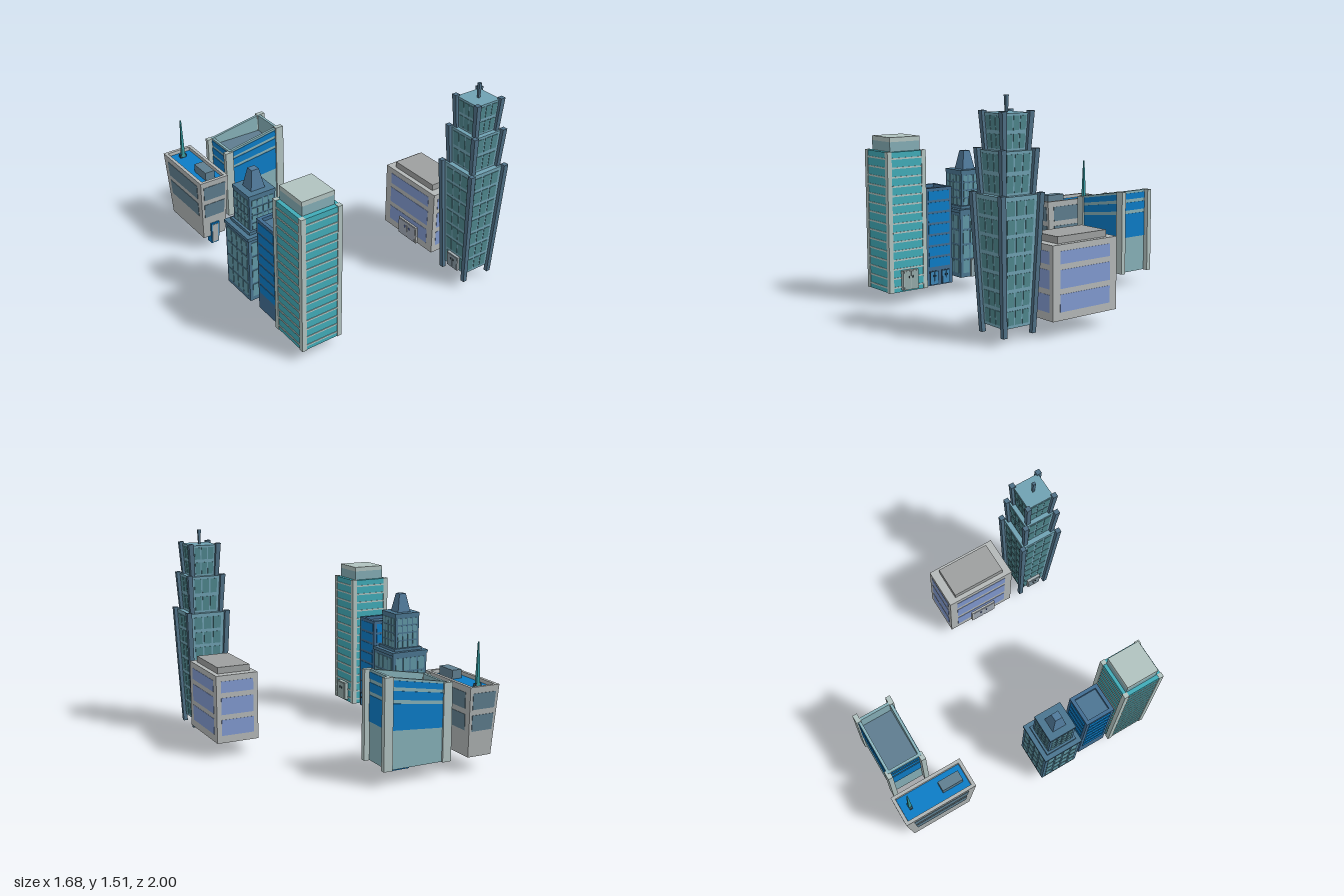
import * as THREE from 'three';

const SIDES = ['front', 'back', 'left', 'right'];
const mats = {};
const mat = (c) => (mats[c] ??= new THREE.MeshStandardMaterial({ color: c, side: THREE.DoubleSide }));
const { lerp } = THREE.MathUtils;

// A block tapers from w0 x d0 at y0 to w1 x d1 at the top; the top may slope from yr (-x) to yl (+x).
const block = (x, z, y0, y1, w0, d0, w1 = w0, d1 = d0, yl = y1) => ({ x, z, y0, yr: y1, yl, w0, d0, w1, d1 });

// Point on a block: sx, sz run -1..1 across it and v runs 0..1 up it.
function at(b, sx, sz, v) {
  const top = lerp(b.yr, b.yl, (sx + 1) / 2);
  return [b.x + (sx * lerp(b.w0, b.w1, v)) / 2, lerp(b.y0, top, v), b.z + (sz * lerp(b.d0, b.d1, v)) / 2];
}

// Box whose unit corners are moved by a rule.
function mapped(group, name, color, rule) {
  const g = new THREE.BoxGeometry(1, 1, 1);
  const p = g.attributes.position;
  for (let i = 0; i < p.count; i++) p.setXYZ(i, ...rule(p.getX(i) + 0.5, p.getY(i) + 0.5, p.getZ(i) + 0.5));
  g.computeVertexNormals();
  const m = new THREE.Mesh(g, mat(color));
  m.name = name;
  group.add(m);
  return m;
}

const solid = (group, name, b, color) =>
  mapped(group, name, color, (i, j, k) => at(b, i * 2 - 1, k * 2 - 1, j));

// Slab lying on one wall: u -1..1 across, v 0..1 up, o0..o1 outwards.
function panel(group, name, b, side, u0, u1, v0, v1, o0, o1, color) {
  return mapped(group, name, color, (i, j, k) => {
    const u = lerp(u0, u1, i), v = lerp(v0, v1, j), o = lerp(o0, o1, k);
    const s = side === 'front' || side === 'left' ? 1 : -1;
    const alongX = side === 'front' || side === 'back';
    const p = alongX ? at(b, s * u, s, v) : at(b, s, -s * u, v);
    p[alongX ? 0 : 2] += 0;
    p[alongX ? 2 : 0] += s * o;
    return p;
  });
}

function windows(group, b, cols, rows, margin, v0, v1, gapU, gapV, color, sides = SIDES) {
  const du = (2 * margin) / cols, dv = (v1 - v0) / rows;
  for (const side of sides)
    for (let r = 0; r < rows; r++)
      for (let c = 0; c < cols; c++) {
        const u = -margin + c * du, v = v0 + r * dv;
        panel(group, 'window', b, side, u + gapU, u + du - gapU, v + gapV, v + dv - gapV, -0.002, 0.003, color);
      }
}

// Hollow top: four walls around a lower roof.
function walled(group, b, t, floor, color, roofColor) {
  for (const side of SIDES) panel(group, 'wall', b, side, -1, 1, 0, 1, -t, 0, color);
  const f = (floor - b.y0) / (Math.max(b.yr, b.yl) - b.y0);
  const w = lerp(b.w0, b.w1, f) - 2 * t, d = lerp(b.d0, b.d1, f) - 2 * t;
  solid(group, 'core', block(b.x, b.z, b.y0, floor - 0.01, b.w0 - 2 * t, b.d0 - 2 * t, w, d), color);
  solid(group, 'roof', block(b.x, b.z, floor - 0.01, floor, w, d), roofColor);
}

// Double door: frame, two leaves and two handles.
function door(group, b, side, u0, u1, v0, v1, depth, frame, leaf, handle) {
  const mid = (u0 + u1) / 2, e = (u1 - u0) * 0.06, h = v1 - v0;
  panel(group, 'doorFrame', b, side, u0, u1, v0, v1, -0.03, depth, frame);
  for (const s of [-1, 1]) {
    const outer = mid + s * ((u1 - u0) / 2 - e), inner = mid + s * e * 0.25;
    panel(group, 'doorLeaf', b, side, Math.min(outer, inner), Math.max(outer, inner), v0 + h * 0.03, v1 - h * 0.05, depth - 0.002, depth + 0.003, leaf);
    const hx = mid + s * e * 2;
    panel(group, 'doorHandle', b, side, hx - e * 0.4, hx + e * 0.4, v0 + h * 0.6, v0 + h * 0.72, depth, depth + 0.008, handle);
  }
}

function stripedTower() {
  const g = new THREE.Group();
  g.name = 'stripedTower';
  const b = block(-0.678, 0.803, 0.085, 1.073, 0.296, 0.3);
  solid(g, 'glassCore', b, 0x41abb8);
  for (const side of SIDES)
    for (let i = 0; i < 15; i++) {
      const v = 0.03 + i * 0.0655;
      panel(g, 'floorStripe', b, side, -0.8, 0.8, v, v + 0.012, -0.002, 0.004, 0xaec4c2);
    }
  for (const sx of [-1, 1])
    for (const sz of [-1, 1])
      solid(g, 'cornerColumn', block(b.x + sx * 0.136, b.z + sz * 0.138, 0.085, 1.076, 0.034, 0.034), 0xb1c3c0);
  solid(g, 'capGlass', block(-0.678, 0.797, 1.07, 1.14, 0.238, 0.24), 0x84adb5);
  solid(g, 'capRoof', block(-0.678, 0.797, 1.14, 1.172, 0.24, 0.242), 0xb1c3c0);
  door(g, b, 'left', -0.4, 0.43, 0.015, 0.155, 0.028, 0xa9bab8, 0x94a9a8, 0x33474d);
  return g;
}

function tallTower() {
  const g = new THREE.Group();
  g.name = 'tallTower';
  const [x, z] = [0.66, 0.832];
  // y0, y1, bottom and top body width, fin drop, bottom and top fin reach, window rows
  const stages = [
    [0.1, 0.912, 0.208, 0.278, 0.05, 0.125, 0.165, 7],
    [0.912, 1.18, 0.206, 0.236, 0, 0.126, 0.144, 2],
    [1.18, 1.405, 0.172, 0.2, 0, 0.106, 0.122, 2],
  ];
  for (const [y0, y1, w0, w1, drop, r0, r1, rows] of stages) {
    const b = block(x, z, y0, y1, w0, w0, w1, w1);
    solid(g, 'stage', b, 0x70a2b3);
    windows(g, b, 3, rows, 0.8, 0.01, 0.98, 0.05, 0.1 / rows, 0x4f878e);
    // Corner fins lean outwards with the walls
    for (const sx of [-1, 1])
      for (const sz of [-1, 1])
        mapped(g, 'cornerFin', 0x4f7086, (i, j, k) => {
          const r = lerp(r0, r1, j), t = lerp(0.03, 0.036, j);
          const a = sx > 0 ? r - t + i * t : -r + i * t;
          const c = sz > 0 ? r - t + k * t : -r + k * t;
          return [x + a, lerp(y0 - drop, y1 + 0.012, j), z + c];
        });
  }
  solid(g, 'mast', block(x, z, 1.4, 1.51, 0.014, 0.014, 0.022, 0.022), 0x4f7086);
  door(g, block(x, z, 0.1, 0.912, 0.208, 0.208, 0.278, 0.278), 'right', -0.5, 0.5, 0.005, 0.14, 0.02, 0xa9b4b8, 0x8496a0, 0x33474d);
  return g;
}

function officeBlock() {
  const g = new THREE.Group();
  g.name = 'officeBlock';
  const b = block(0.682, 0.347, 0.108, 0.588, 0.306, 0.53);
  solid(g, 'body', b, 0xb4b8b8);
  solid(g, 'roofSlab', block(0.682, 0.347, 0.588, 0.633, 0.238, 0.405), 0x9da0a0);
  for (const side of SIDES)
    for (const [v0, v1] of [[0.11, 0.345], [0.42, 0.67], [0.745, 0.915]])
      panel(g, 'windowBand', b, side, -0.78, 0.78, v0, v1, -0.002, 0.002, 0x8099cf);
  door(g, b, 'right', -0.33, 0.42, 0, 0.27, 0.016, 0xb4b8b8, 0xa0a8b4, 0x5a70b8);
  return g;
}

function steppedTower() {
  const g = new THREE.Group();
  g.name = 'steppedTower';
  const [x, z] = [-0.69, 0.203];
  const low = block(x, z, 0.11, 0.6, 0.288, 0.288), high = block(x, z, 0.6, 0.88, 0.2, 0.2);
  solid(g, 'lowerBlock', low, 0x4a7590);
  solid(g, 'lowerRim', block(x, z, 0.59, 0.614, 0.302, 0.302), 0x4a7590);
  solid(g, 'middleStep', block(x, z, 0.61, 0.635, 0.235, 0.235), 0x4a7590);
  solid(g, 'upperBlock', high, 0x4a7590);
  solid(g, 'upperRim', block(x, z, 0.87, 0.895, 0.206, 0.206), 0x4a7590);
  solid(g, 'spire', block(x, z, 0.895, 1.03, 0.106, 0.106, 0.054, 0.054), 0x50799a);
  windows(g, low, 4, 4, 0.88, 0.05, 0.95, 0.04, 0.015, 0x6097a5);
  windows(g, high, 4, 4, 0.86, 0.12, 0.94, 0.05, 0.02, 0x6097a5);
  door(g, low, 'left', -0.4, 0.45, 0, 0.27, 0.014, 0xa4b8bd, 0x8aa2ab, 0x33474d);
  return g;
}

function blueTower() {
  const g = new THREE.Group();
  g.name = 'blueTower';
  const b = block(-0.688, 0.512, 0.08, 0.79, 0.224, 0.222);
  walled(g, b, 0.026, 0.765, 0x416d92, 0x4c7593);
  windows(g, b, 1, 7, 0.8, 0.18, 0.98, 0, 0.012, 0x0c7cc6);
  for (const s of [-1, 1])
    door(g, b, 'left', s * 0.45 - 0.32, s * 0.45 + 0.32, 0.01, 0.15, 0.008, 0x2c4a63, 0x3d86b8, 0x22384a);
  return g;
}

function flaredBlock() {
  const g = new THREE.Group();
  g.name = 'flaredBlock';
  const b = block(-0.622, -0.724, 0.11, 0.6, 0.18, 0.462, 0.226, 0.552);
  walled(g, b, 0.024, 0.575, 0xb0b5b5, 0x0c7cc6);
  windows(g, b, 1, 2, 0.8, 0.33, 0.95, 0, 0.04, 0x607f90);
  solid(g, 'roofUnit', block(-0.622, -0.588, 0.57, 0.637, 0.074, 0.16), 0x607f90);
  solid(g, 'mastFoot', block(-0.622, -0.912, 0.57, 0.6, 0.05, 0.024), 0x3a5560);
  solid(g, 'mast', block(-0.622, -0.912, 0.58, 0.88, 0.026, 0.026, 0.008, 0.008), 0x359aa0);
  // Entrance drops below the floor, leaning with the wall
  panel(g, 'doorFrame', b, 'front', -0.36, 0.36, -0.13, 0.235, -0.045, 0.012, 0x0c7cc6);
  panel(g, 'doorLeaf', b, 'front', -0.27, 0.27, -0.11, 0.21, 0.01, 0.015, 0xb0b5b5);
  return g;
}

function slantedHall() {
  const g = new THREE.Group();
  g.name = 'slantedHall';
  const b = block(-0.148, -0.803, 0.107, 0.645, 0.43, 0.27, 0.43, 0.27, 0.722);
  walled(g, b, 0.02, 0.59, 0x86b0b8, 0x5f7d90);
  for (const side of SIDES)
    for (const [v0, v1] of [[0.43, 0.722], [0.763, 0.86], [0.9, 0.972]])
      panel(g, 'blueGlass', b, side, -0.97, 0.97, v0, v1, -0.002, 0.003, 0x0c7cc6);
  for (const [x, top] of [[-0.369, 0.642], [0.073, 0.723]])
    for (const sz of [-1, 1])
      solid(g, 'cornerColumn', block(x, b.z + sz * 0.131, 0.105, top, 0.064, 0.036), 0xb1c2c0);
  // Large entrance reaching the ground
  const porch = block(-0.151, -0.661, 0.003, 0.265, 0.186, 0.05);
  solid(g, 'doorFrame', block(-0.151, -0.661, 0, 0.267, 0.188, 0.048), 0x0c6fb5);
  for (const s of [-1, 1]) {
    panel(g, 'doorLeaf', porch, 'front', s > 0 ? 0.02 : -0.93, s > 0 ? 0.93 : -0.02, 0.03, 0.96, -0.004, 0, 0xb1bcbc);
    panel(g, 'doorHandle', porch, 'front', s * 0.28 - 0.06, s * 0.28 + 0.06, 0.64, 0.74, 0, 0.006, 0x7f97cc);
  }
  panel(g, 'doorSeam', porch, 'front', -0.025, 0.025, 0.35, 0.96, -0.004, 0.003, 0x7f97cc);
  solid(g, 'intercom', block(-0.034, -0.664, 0.178, 0.205, 0.012, 0.016), 0x7f97cc);
  return g;
}

export function createModel() {
  const city = new THREE.Group();
  city.name = 'cityBuildings';
  city.add(stripedTower(), tallTower(), officeBlock(), steppedTower(), blueTower(), flaredBlock(), slantedHall());
  return city;
}
